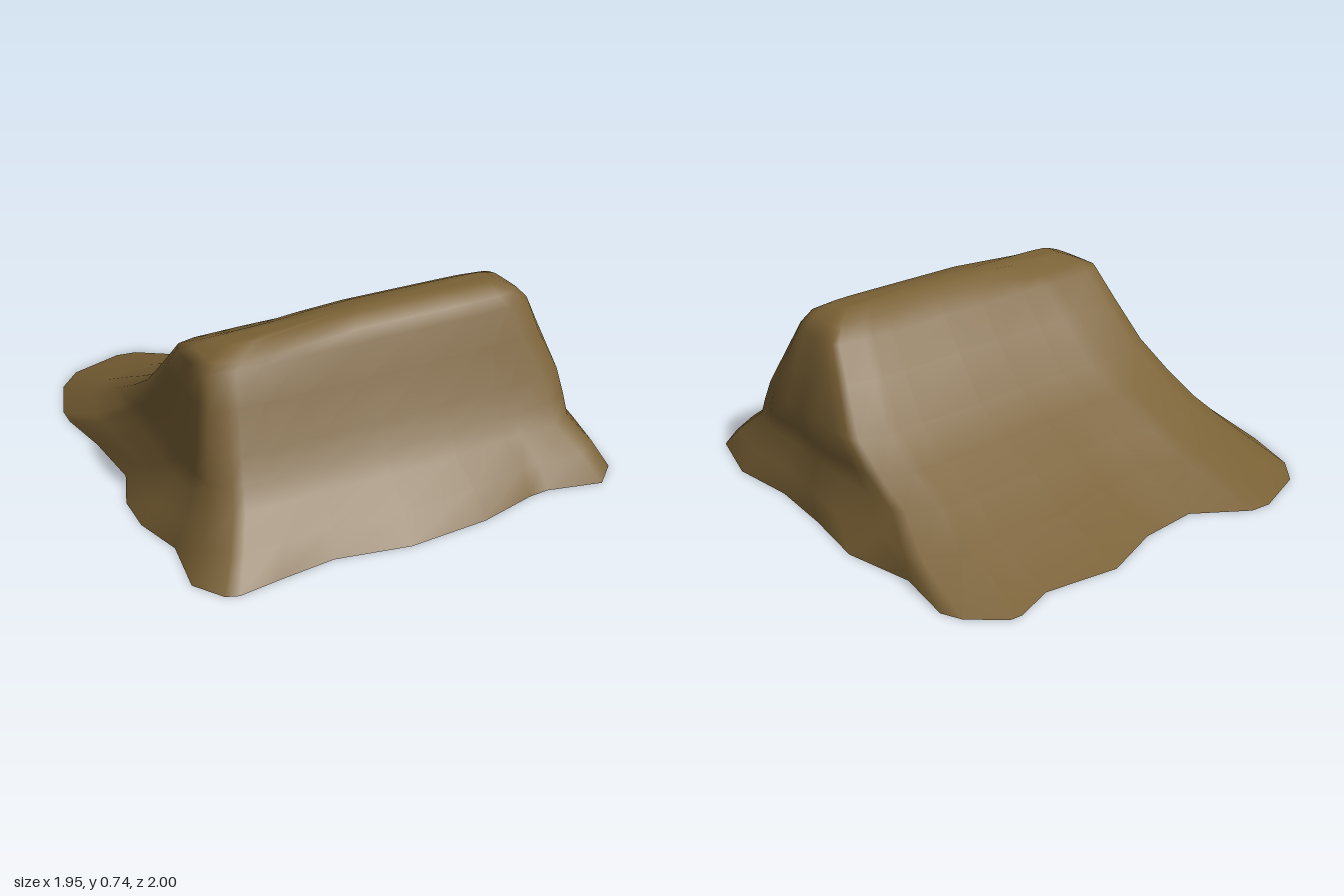
import * as THREE from 'three';

// Wavy ground outline (x, z), clockwise seen from above
const OUTLINE = [
  [-0.81, -0.92], [-0.58, -1.0], [-0.49, -0.99], [-0.27, -0.845], [-0.02, -0.86],
  [0.23, -0.95], [0.54, -0.9], [0.7, -0.955], [0.75, -0.95], [0.88, -0.84],
  [0.92, -0.76], [0.89, -0.52], [0.965, -0.23], [0.935, 0.05], [0.925, 0.33],
  [0.97, 0.61], [0.905, 0.88], [0.8, 0.97], [0.57, 0.915], [0.48, 0.92],
  [0.23, 0.98], [-0.11, 0.995], [-0.41, 0.935], [-0.64, 0.955], [-0.81, 0.975],
  [-0.86, 0.955], [-0.94, 0.84], [-0.91, 0.6], [-0.97, 0.4], [-0.97, 0.23],
  [-0.905, 0.04], [-0.93, -0.25], [-0.975, -0.49], [-0.975, -0.58], [-0.905, -0.81],
];

// Rings from the ground to the ridge: y, left x, right x, back z, front z, waviness
const RINGS = [
  [0, -0.97, 0.97, -1, 1, 1],
  [0.095, -0.9, 0.92, -0.67, 0.9, 0.6],
  [0.19, -0.83, 0.85, -0.46, 0.785, 0.35],
  [0.27, -0.81, 0.85, -0.29, 0.73, 0.3],
  [0.37, -0.79, 0.84, -0.11, 0.67, 0.25],
  [0.53, -0.76, 0.77, 0.07, 0.6, 0.1],
  [0.65, -0.74, 0.72, 0.2, 0.545, 0],
  [0.7, -0.69, 0.67, 0.26, 0.52, 0],
  [0.737, -0.6, 0.59, 0.34, 0.455, 0],
];

function moundGeometry() {
  const n = OUTLINE.length;
  const positions = [];
  const index = [];
  for (const [y, left, right, back, front, wave] of RINGS) {
    for (const [x, z] of OUTLINE) {
      // Blend the wavy outline into a rounded rectangle
      const u = x / 0.97;
      const s = Math.pow(u ** 8 + z ** 8, 1 / 8);
      const k = THREE.MathUtils.lerp(1 / s, 1, wave);
      const px = (left + right) / 2 + (u * k * (right - left)) / 2;
      const pz = (back + front) / 2 + (z * k * (front - back)) / 2;
      // The ridge dips slightly to one side
      const dip = y > 0.68 ? 0.025 * THREE.MathUtils.clamp((-px - 0.1) / 0.3, 0, 1) : 0;
      positions.push(px, y - dip, pz);
    }
  }
  for (let r = 0; r < RINGS.length - 1; r++) {
    for (let i = 0; i < n; i++) {
      const a = r * n + i;
      const b = r * n + ((i + 1) % n);
      index.push(a, a + n, b, b, a + n, b + n);
    }
  }
  // Close the narrow ridge; the underside stays open
  const top = (RINGS.length - 1) * n;
  positions.push(0, 0.737, 0.4);
  for (let i = 0; i < n; i++) index.push(RINGS.length * n, top + ((i + 1) % n), top + i);

  const geometry = new THREE.BufferGeometry();
  geometry.setAttribute('position', new THREE.Float32BufferAttribute(positions, 3));
  geometry.setIndex(index);
  geometry.computeVertexNormals();
  return geometry;
}

export function createModel() {
  const earth = new THREE.MeshStandardMaterial({ color: 0x7a6135, side: THREE.DoubleSide });
  earth.name = 'earth brown';
  const mound = new THREE.Mesh(moundGeometry(), earth);
  mound.name = 'earthMound';
  const group = new THREE.Group();
  group.name = 'earthRamp';
  group.add(mound);
  return group;
}
